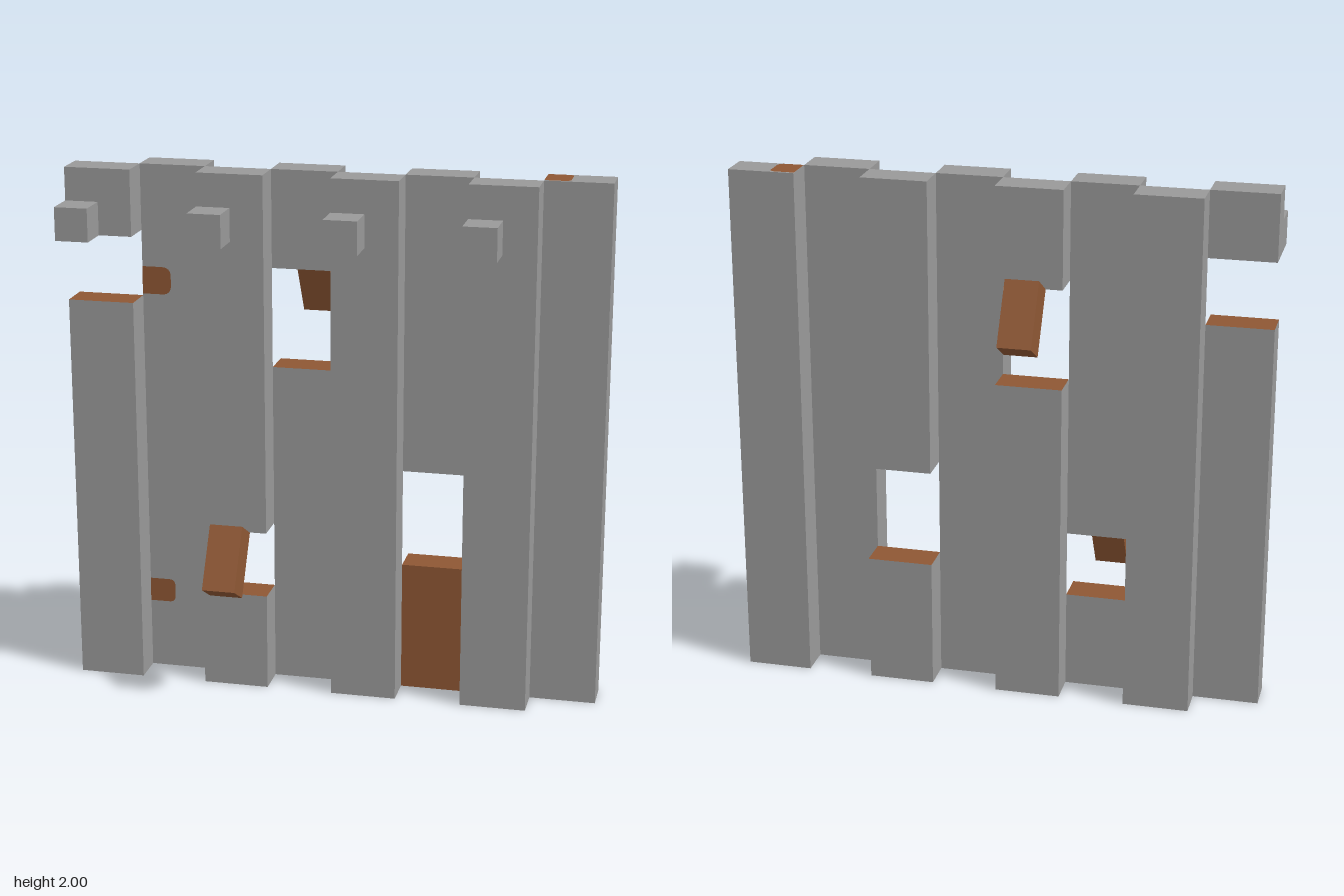
import * as THREE from 'three';

export function createModel() {
  const model = new THREE.Group();
  model.name = 'brokenWall';
  const grey = new THREE.MeshStandardMaterial({ color: 0x999999 });
  grey.name = 'grey paint';
  const brown = new THREE.MeshStandardMaterial({ color: 0x8e5734 });
  brown.name = 'bare brown';

  const W = 0.25; // board width
  const T = 0.125; // board thickness

  function box(name, w, h, d, x, y, z, material, parent = model) {
    const mesh = new THREE.Mesh(new THREE.BoxGeometry(w, h, d), material);
    mesh.name = name;
    mesh.position.set(x, y, z);
    parent.add(mesh);
    return mesh;
  }

  // Face order of a box: +x, -x, +y, -y, +z, -z
  const paint = (...brownFaces) => [0, 1, 2, 3, 4, 5].map((i) => (brownFaces.includes(i) ? brown : grey));
  const TOP = 2, BOTTOM = 3, FRONT = 4;

  // Upright boards alternate front and back; some have a piece broken out
  const gaps = { 0: [1.5, 1.75], 2: [0.375, 0.63], 3: [1.25, 1.63], 5: [0.5, 0.875] };
  for (let i = 0; i < 8; i++) {
    const board = new THREE.Group();
    board.name = 'board' + (i + 1);
    const isFront = i % 2 === 0;
    board.position.set(-1 + W * (i + 0.5), 0, isFront ? T / 2 : -T / 2);
    model.add(board);
    const gap = gaps[i];
    if (gap) {
      const [a, b] = gap;
      const lowerPaint = i === 5 ? paint(TOP, FRONT) : paint(TOP);
      box('lowerPiece', W, a, T, 0, a / 2, 0, lowerPaint, board);
      box('upperPiece', W, 2 - b, T, 0, (2 + b) / 2, 0, paint(BOTTOM), board);
    } else {
      box('plank', W, 2, T, 0, 1, 0, i === 6 ? paint(BOTTOM) : grey, board);
    }
    // Peg near the top of each front board
    if (isFront) box('peg', T, T, T, -T / 2, 1.8125, T, grey, board);
  }

  // Broken chips hanging tilted beside the gaps
  box('frontChip', T, W, T, -0.375, 0.553, 0.245, brown).rotation.x = -Math.PI / 6;
  box('backChip', T, W, T, -0.125, 1.553, -0.24, brown).rotation.x = Math.PI / 6;

  // Worn patch: square on the left, rounded on the right
  function patch(name, w, h, r) {
    const s = new THREE.Shape();
    s.moveTo(0, 0);
    s.lineTo(w - r, 0);
    s.quadraticCurveTo(w, 0, w, r);
    s.lineTo(w, h - r);
    s.quadraticCurveTo(w, h, w - r, h);
    s.lineTo(0, h);
    s.closePath();
    const mesh = new THREE.Mesh(new THREE.ShapeGeometry(s, 6), brown);
    mesh.name = name;
    model.add(mesh);
    return mesh;
  }
  patch('upperWornPatch', 0.11, 0.105, 0.035).position.set(-0.75, 1.507, 0.002);
  patch('lowerWornPatch', 0.1, 0.093, 0.025).position.set(-0.75, 0.27, 0.002);
  const topPatch = patch('topWornPatch', 0.095, 0.115, 0.025);
  topPatch.rotation.x = -Math.PI / 2;
  topPatch.position.set(0.75, 2.001, -0.004);

  return model;
}
